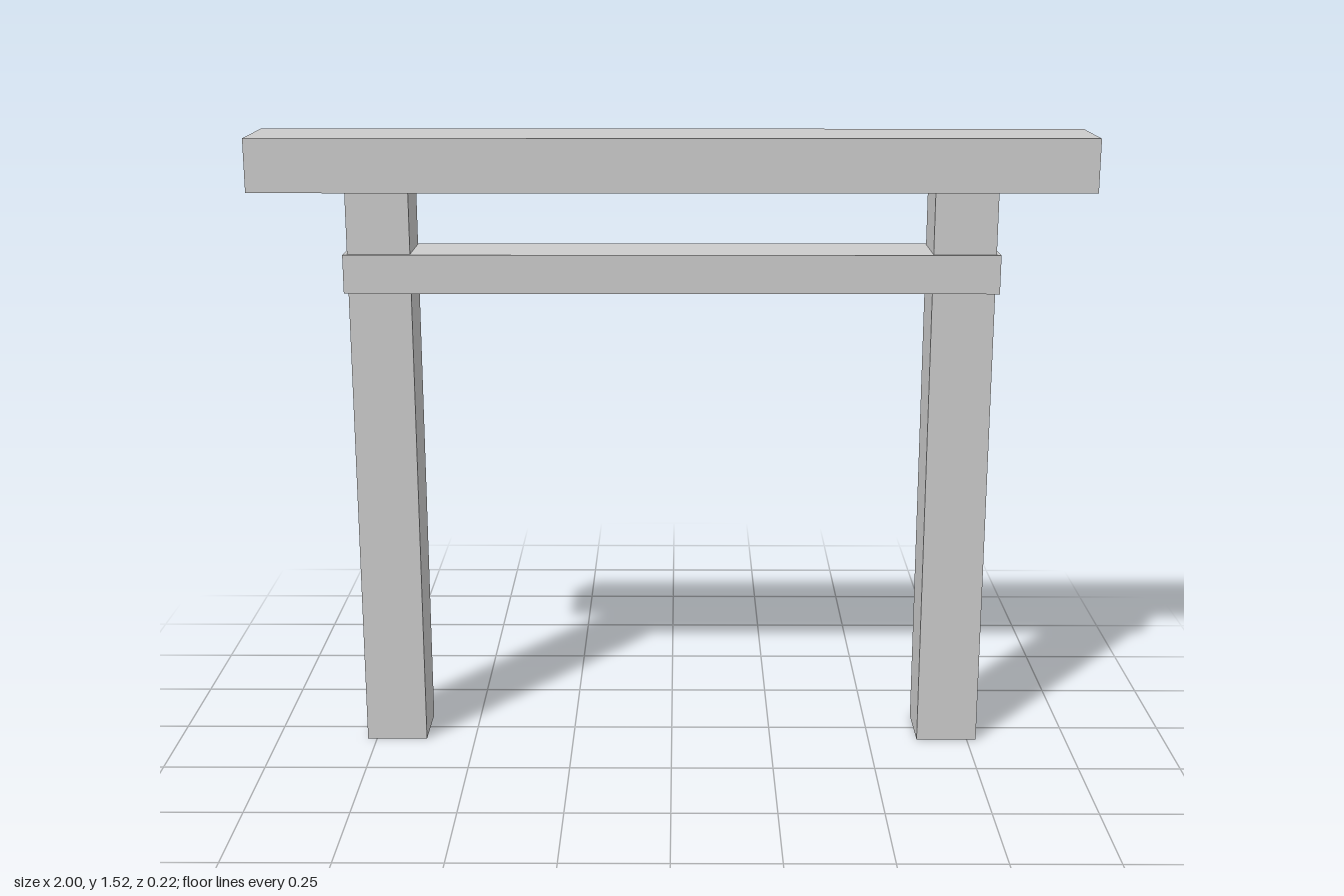
import * as THREE from 'three';

export function createModel() {
  const model = new THREE.Group();
  model.name = 'gateway';
  const material = new THREE.MeshStandardMaterial({ color: 0xcccccc, flatShading: true });

  // Square-cut timber spanning from y = bottom to y = top
  function addTimber(name, width, depth, bottom, top, x = 0) {
    const mesh = new THREE.Mesh(new THREE.BoxGeometry(width, top - bottom, depth), material);
    mesh.name = name;
    mesh.position.set(x, (bottom + top) / 2, 0);
    model.add(mesh);
  }

  // Pair of posts
  for (const side of [1, -1]) {
    addTimber(side > 0 ? 'leftPost' : 'rightPost', 0.15, 0.15, 0, 1.395, side * 0.698);
  }

  // Tie beam wrapping the posts, and the long lintel on top
  addTimber('tieBeam', 1.565, 0.173, 1.152, 1.245);
  addTimber('topLintel', 2, 0.215, 1.395, 1.523);

  return model;
}
